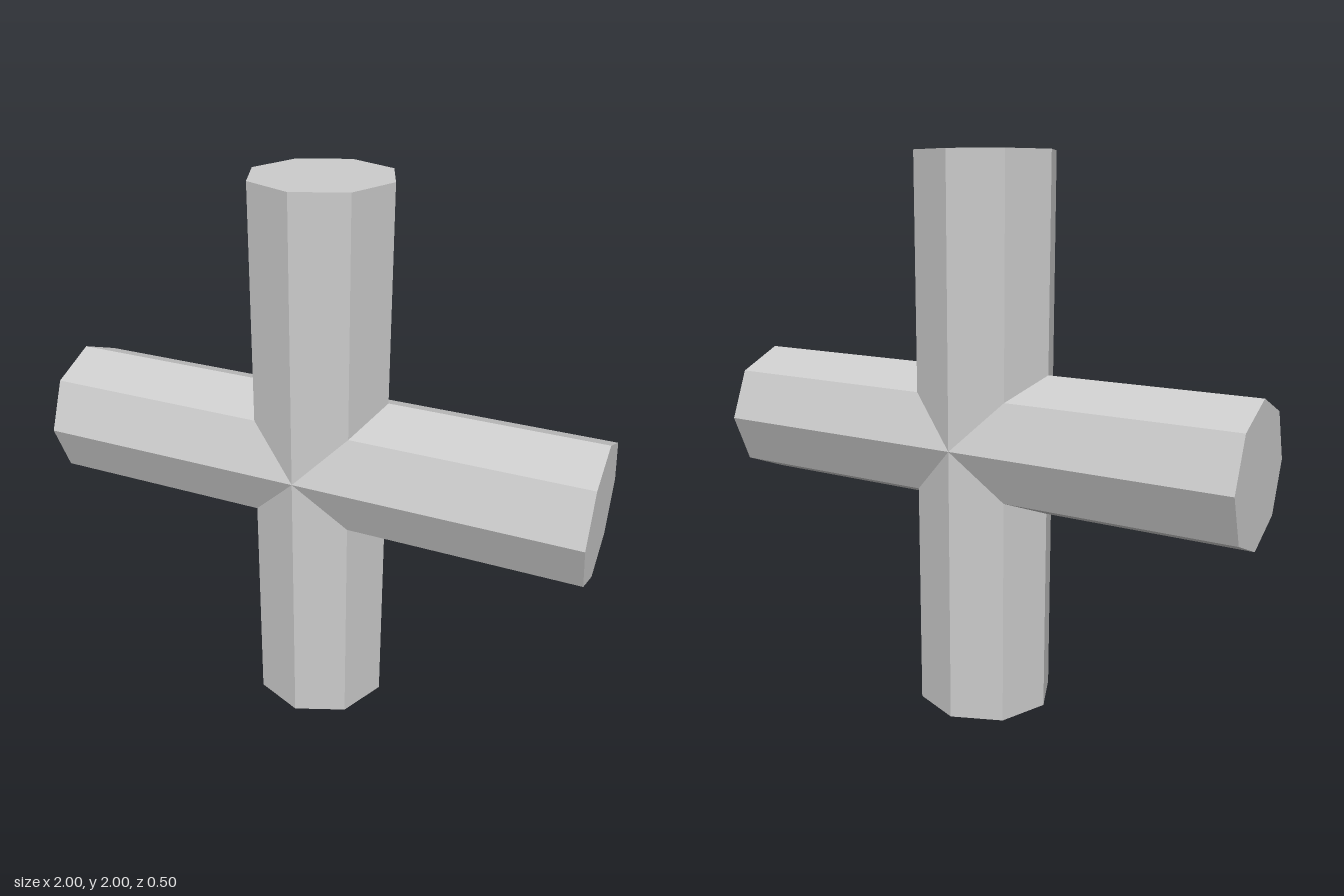
import * as THREE from 'three';
import { mergeGeometries } from 'three/addons/utils/BufferGeometryUtils.js';

const RADIUS = 0.25, SIDES = 8, LENGTH = 1;

// One octagonal arm along +y, capped outside and mitred at the centre
function armGeometry() {
  const tube = new THREE.CylinderGeometry(RADIUS, RADIUS, LENGTH, SIDES, 1, true);
  tube.translate(0, LENGTH / 2, 0);
  const p = tube.attributes.position;
  for (let i = 0; i < p.count; i++) {
    // the inner rim follows the 45 degree planes shared with the neighbours
    if (p.getY(i) < LENGTH / 2) p.setY(i, Math.abs(p.getX(i)));
  }
  const cap = new THREE.CircleGeometry(RADIUS, SIDES);
  cap.rotateX(-Math.PI / 2).translate(0, LENGTH, 0);
  const geometry = mergeGeometries([tube, cap]).toNonIndexed();
  geometry.computeVertexNormals();
  return geometry;
}

export function createModel() {
  const group = new THREE.Group();
  group.name = 'crossPipe';
  const material = new THREE.MeshStandardMaterial({ color: 0xcccccc, flatShading: true });
  const geometry = armGeometry();

  // Four arms turned around the z axis
  ['topArm', 'rightArm', 'bottomArm', 'leftArm'].forEach((name, i) => {
    const arm = new THREE.Mesh(geometry, material);
    arm.name = name;
    arm.position.y = LENGTH;
    arm.rotation.z = i * Math.PI / 2;
    group.add(arm);
  });
  return group;
}
